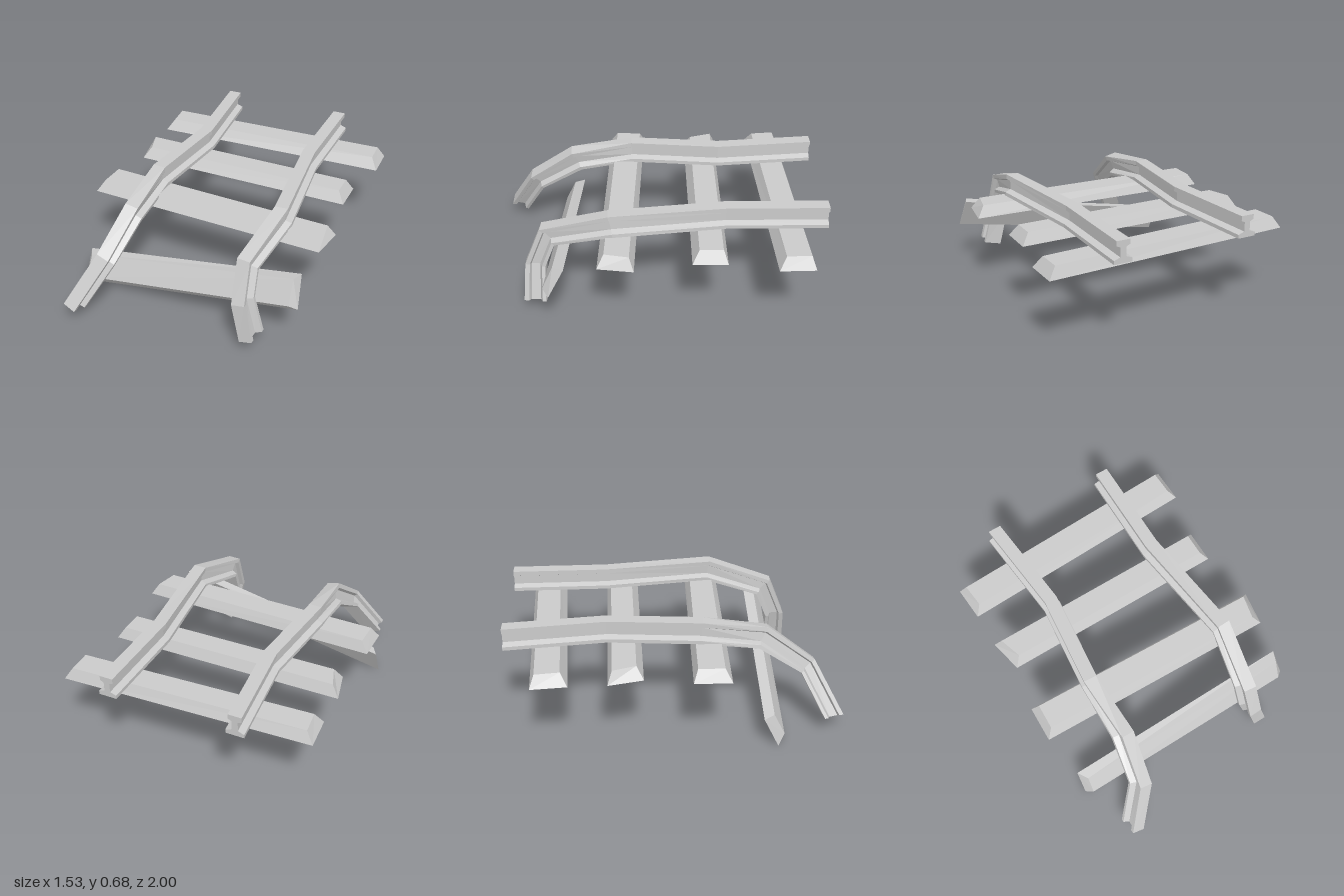
import * as THREE from 'three';

const V = (p) => new THREE.Vector3(...p);
const material = new THREE.MeshStandardMaterial({ color: 0xcccccc, flatShading: true });

// Skin a list of equal-length rings (counter-clockwise seen from the last ring) and cap both ends
function loft(rings, contour) {
  const pos = [];
  const tri = (...pts) => pts.forEach((p) => pos.push(p.x, p.y, p.z));
  const n = contour.length;
  for (let r = 0; r < rings.length - 1; r++) {
    const a = rings[r], b = rings[r + 1];
    for (let i = 0; i < n; i++) {
      const j = (i + 1) % n;
      tri(a[i], a[j], b[j]);
      tri(a[i], b[j], b[i]);
    }
  }
  const first = rings[0], last = rings[rings.length - 1];
  for (const [i, j, k] of THREE.ShapeUtils.triangulateShape(contour, [])) {
    tri(first[i], first[k], first[j]);
    tri(last[i], last[j], last[k]);
  }
  const g = new THREE.BufferGeometry();
  g.setAttribute('position', new THREE.Float32BufferAttribute(pos, 3));
  g.computeVertexNormals();
  return g;
}

// Rail section: sideways offset, height as a fraction from foot (0) to head (1)
const half = [[0.055, 0], [0.055, 0.17], [0.018, 0.28], [0.018, 0.7], [0.04, 0.78], [0.04, 1]];
const railSection = [...half, ...half.map(([x, t]) => [-x, t]).reverse()]
  .map(([x, t]) => new THREE.Vector2(x, t));

// Each station gives the centre of the foot and the centre of the head
function rail(stations) {
  const feet = stations.map((s) => V(s[0])), heads = stations.map((s) => V(s[1]));
  const mids = feet.map((f, i) => f.clone().lerp(heads[i], 0.5));
  const rings = mids.map((_, i) => {
    const a = mids[Math.max(i - 1, 0)], b = mids[Math.min(i + 1, mids.length - 1)];
    const up = heads[i].clone().sub(feet[i]);
    const side = i === 0 ? V([1, 0, 0]) : up.clone().cross(b.clone().sub(a)).normalize();
    return railSection.map((p) => feet[i].clone().addScaledVector(up, p.y).addScaledVector(side, p.x));
  });
  return loft(rings, railSection);
}

const square = [[0, 0], [1, 0], [1, 1], [0, 1]].map((p) => new THREE.Vector2(...p));
const sleeper = (base, top) => loft([base.map(V), top.map(V)], square);

// Level sleeper from its four ground corners: left front, right front, right back, left back
function levelSleeper(corners) {
  const insets = [[0.045, -0.04], [-0.045, -0.04], [-0.045, 0.027], [0.045, 0.027]];
  return sleeper(
    corners.map(([x, z]) => [x, 0.48, z]),
    corners.map(([x, z], i) => [x + insets[i][0], 0.55, z + insets[i][1]]),
  );
}

export function createModel() {
  const model = new THREE.Group();
  const add = (name, geometry) => {
    const mesh = new THREE.Mesh(geometry, material);
    mesh.name = name;
    model.add(mesh);
  };

  // Bent rails, from the level back end to the drooping broken front end
  add('rightRail', rail([
    [[-0.395, 0.55, -1], [-0.395, 0.68, -1]],
    [[-0.335, 0.55, -0.4], [-0.335, 0.68, -0.4]],
    [[-0.39, 0.55, 0.15], [-0.39, 0.68, 0.16]],
    [[-0.395, 0.5, 0.49], [-0.368, 0.62, 0.55]],
    [[-0.435, 0.34, 0.75], [-0.415, 0.415, 0.83]],
    [[-0.57, 0.09, 0.885], [-0.57, 0.115, 0.995]],
  ]));
  add('leftRail', rail([
    [[0.385, 0.55, -1], [0.385, 0.68, -1]],
    [[0.385, 0.55, -0.4], [0.385, 0.68, -0.4]],
    [[0.475, 0.55, 0.26], [0.47, 0.68, 0.285]],
    [[0.415, 0.46, 0.6], [0.41, 0.555, 0.685]],
    [[0.42, 0.3, 0.665], [0.42, 0.31, 0.785]],
    [[0.48, 0.075, 0.665], [0.475, 0.075, 0.8]],
  ]));

  // Three slightly skewed level sleepers
  add('backSleeper', levelSleeper([[-0.755, -0.62], [0.76, -0.68], [0.755, -0.89], [-0.77, -0.83]]));
  add('middleSleeper', levelSleeper([[-0.71, -0.195], [0.695, -0.195], [0.695, -0.4], [-0.755, -0.4]]));
  add('frontSleeper', levelSleeper([[-0.77, 0.3], [0.73, 0.345], [0.76, 0.135], [-0.765, 0.08]]));

  // Sleeper hanging tilted between the broken rail ends
  add('hangingSleeper', sleeper(
    [[-0.715, 0, 0.59], [0.72, 0.27, 0.63], [0.7, 0.45, 0.535], [-0.71, 0.185, 0.5]],
    [[-0.675, 0.06, 0.63], [0.675, 0.305, 0.665], [0.675, 0.45, 0.6], [-0.67, 0.19, 0.565]],
  ));
  return model;
}
